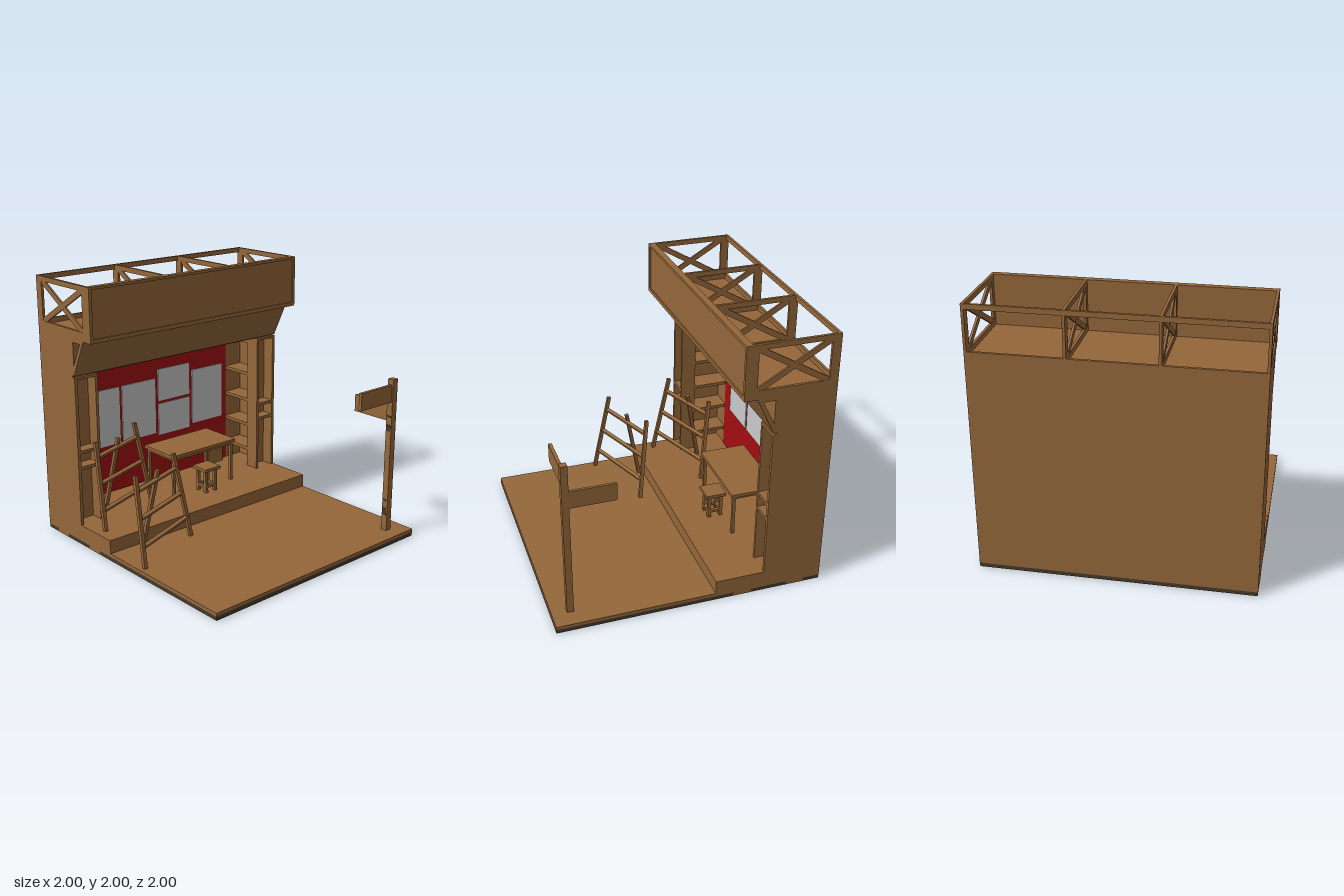
import * as THREE from 'three';

const mat = (name, color) => {
  const m = new THREE.MeshStandardMaterial({ color });
  m.name = name;
  return m;
};

export function createModel() {
  const root = new THREE.Group();
  root.name = 'workshopStage';
  const wood = mat('wood', 0x95673a);
  const red = mat('red wall', 0xa30d0f);
  const paper = mat('pale panel', 0xcbcbcb);
  const dark = mat('dark underside', 0x443a2b);

  const add = (name, geo, m = wood, parent = root) => {
    const mesh = new THREE.Mesh(geo, m);
    mesh.name = name;
    parent.add(mesh);
    return mesh;
  };
  // Box given by its minimum and maximum on each axis
  const box = (name, x0, x1, y0, y1, z0, z1, m = wood, parent = root) => {
    const mesh = add(name, new THREE.BoxGeometry(x1 - x0, y1 - y0, z1 - z0), m, parent);
    mesh.position.set((x0 + x1) / 2, (y0 + y1) / 2, (z0 + z1) / 2);
    return mesh;
  };
  // Square bar between two points
  const bar = (name, a, b, w, d, parent = root) => {
    const p = new THREE.Vector3(...a), q = new THREE.Vector3(...b);
    const dir = q.clone().sub(p);
    const mesh = add(name, new THREE.BoxGeometry(w, dir.length(), d), wood, parent);
    mesh.position.copy(p).add(q).multiplyScalar(0.5);
    mesh.quaternion.setFromUnitVectors(new THREE.Vector3(0, 1, 0), dir.normalize());
    return mesh;
  };
  const group = (name) => {
    const g = new THREE.Group();
    g.name = name;
    root.add(g);
    return g;
  };
  const lerp = (a, b, t) => a.map((v, i) => v + (b[i] - v) * t);

  // Ground, dark underside and raised platform
  box('underside', -1, 1, 0, 0.03, -0.998, 0.998, dark);
  box('ground', -1, 1, 0.03, 0.055, -1, 1);
  box('platform', -1, -0.18, 0.055, 0.16, -1, 1);
  for (const z of [-1, 0.99])
    for (const x of [-0.87, -0.455]) box('baseTab', x, x + 0.138, 0.001, 0.03, z, z + 0.01);
  for (const z of [0.62, 0.07, -0.48])
    box('undersideTab', -0.28, -0.17, -0.001, 0.002, z - 0.012, z + 0.012);

  // Back wall, red lining and pale boards
  box('backWall', -1, -0.955, 0.03, 1.31, -1, 1);
  box('redWall', -0.955, -0.95, 0.16, 1.31, -0.8, 0.8, red);
  for (const [z0, z1, y0, y1] of [[0.335, 0.67, 0.56, 1.03], [-0.025, 0.31, 0.56, 1.03],
    [-0.385, -0.055, 0.83, 1.1], [-0.385, -0.055, 0.535, 0.805], [-0.745, -0.415, 0.56, 1.03]])
    box('wallBoard', -0.95, -0.942, y0, y1, z0, z1, paper);

  // Side walls: shelves facing the room, small cabinet facing outward
  for (const s of [-1, 1]) {
    const wall = group(s > 0 ? 'frontSideWall' : 'rearSideWall');
    const slab = (name, x0, x1, y0, y1, a, b) =>
      box(name, x0, x1, y0, y1, Math.min(s * a, s * b), Math.max(s * a, s * b), wood, wall);
    slab('outerSide', -0.955, -0.55, 0.03, 1.31, 0.975, 1);
    slab('divider', -0.67, -0.65, 0.16, 1.31, 0.8, 0.975);
    slab('innerStile', -0.65, -0.55, 0.16, 1.31, 0.8, 0.822);
    slab('cabinetTop', -0.65, -0.55, 1.29, 1.31, 0.822, 0.975);
    for (const y of [0.595, 0.72]) slab('cabinetShelf', -0.65, -0.55, y, y + 0.025, 0.822, 0.975);
    slab('shelfTop', -0.955, -0.67, 1.25, 1.31, 0.8, 0.975);
    for (const y of [0.3, 0.52, 0.74, 0.97]) slab('roomShelf', -0.955, -0.67, y, y + 0.025, 0.8, 0.975);
  }

  // Upper wall, deck and sloped awning
  box('lintel', -1, -0.575, 1.31, 1.6, -1, 1);
  box('roofDeck', -1, -0.325, 1.6, 1.63, -1, 1);
  const V = (x, y) => new THREE.Vector2(x, y);
  const section = new THREE.Shape([V(-0.578, 1.33), V(-0.555, 1.32), V(-0.42, 1.6), V(-0.578, 1.6)]);
  section.holes.push(new THREE.Path([V(-0.552, 1.575), V(-0.465, 1.575), V(-0.552, 1.4)]));
  add('awning', new THREE.ExtrudeGeometry(section, { depth: 2, bevelEnabled: false })).position.z = -1;

  // Long front sign with a raised border
  const sign = group('signBoard');
  box('signPanel', -0.375, -0.335, 1.6, 2, -1, 1, wood, sign);
  box('signBorder', -0.335, -0.325, 1.6, 1.625, -1, 1, wood, sign);
  box('signBorder', -0.335, -0.325, 1.98, 2, -1, 1, wood, sign);
  for (const z of [-1, 0.975]) box('signBorder', -0.335, -0.325, 1.625, 1.98, z, z + 0.025, wood, sign);

  // Cross-braced frames carrying the sign, tied by rails along the back
  for (const z of [-1, -0.33, 0.295, 0.98]) {
    const t = group('trussFrame');
    box('rearPost', -1, -0.935, 1.6, 2, z, z + 0.02, wood, t);
    box('frontPost', -0.415, -0.375, 1.6, 2, z, z + 0.02, wood, t);
    box('topRail', -0.935, -0.415, 1.962, 2, z, z + 0.02, wood, t);
    box('bottomRail', -0.935, -0.415, 1.6, 1.668, z, z + 0.02, wood, t);
    bar('brace', [-0.94, 1.66, z + 0.01], [-0.41, 1.97, z + 0.01], 0.042, 0.016, t);
    bar('brace', [-0.94, 1.97, z + 0.01], [-0.41, 1.66, z + 0.01], 0.042, 0.014, t);
  }
  box('backTopRail', -1, -0.98, 1.962, 2, -1, 1);
  box('backBottomRail', -1, -0.98, 1.6, 1.668, -1, 1);

  // Table and stool share one four-legged design
  const bench = (name, x0, x1, z0, z1, top, thick, inset, leg, railY) => {
    const g = group(name);
    box('top', x0, x1, top - thick, top, z0, z1, wood, g);
    const a = x0 + inset, b = x1 - inset, c = z0 + inset, d = z1 - inset;
    for (const x of [a, b - leg])
      for (const z of [c, d - leg]) box('leg', x, x + leg, 0.16, top - thick, z, z + leg, wood, g);
    for (const x of [a, b - leg]) box('longRail', x, x + leg, railY, railY + 0.02, c, d, wood, g);
    for (const z of [c, d - leg]) box('endRail', a, b, railY, railY + 0.02, z, z + leg, wood, g);
  };
  bench('table', -0.86, -0.49, -0.5, 0.16, 0.518, 0.025, 0.015, 0.024, 0.472);
  bench('stool', -0.55, -0.39, -0.25, -0.09, 0.37, 0.025, 0.02, 0.026, 0.2);

  // Upright plank with a round hole
  const plank = new THREE.Shape([V(-0.08, 0), V(0.08, 0), V(0.08, 0.23), V(-0.08, 0.23)]);
  plank.holes.push(new THREE.Path().absarc(0, 0.16, 0.028, 0, Math.PI * 2, true));
  const holed = add('holedPlank', new THREE.ExtrudeGeometry(plank, { depth: 0.03, bevelEnabled: false, curveSegments: 8 }));
  holed.rotation.y = Math.PI / 2;
  holed.position.set(-0.93, 0.16, -0.64);

  // Two propped ladders, wider at the foot
  const ladder = (x, y, z) => {
    const g = group('ladder');
    const footA = [-0.04, 0, 0.355], topA = [-0.125, 0.66, 0.445];
    const footB = [0.18, 0, 0.955], topB = [0.05, 0.66, 0.925];
    bar('rail', footA, topA, 0.028, 0.028, g);
    bar('rail', footB, topB, 0.028, 0.028, g);
    for (const t of [0.23, 0.53, 0.83])
      bar('rung', lerp(footA, topA, t), lerp(footB, topB, t), 0.028, 0.024, g);
    bar('prop', [-0.145, 0, 0.73], [-0.025, 0.615, 0.67], 0.028, 0.028, g);
    bar('propTie', [-0.09, 0.28, 0.7], [0.022, 0.35, 0.672], 0.02, 0.02, g);
    g.position.set(x, y, z);
  };
  ladder(0, 0.056, 0);
  ladder(-0.52, 0.16, -0.03);

  // Signpost with two arms and dark worn patches
  const post = group('signpost');
  box('post', 0.84, 0.89, 0.055, 1.26, -0.87, -0.82, wood, post);
  box('sideArm', 0.505, 0.84, 0.925, 1.058, -0.865, -0.845, wood, post);
  box('forwardArm', 0.855, 0.88, 1.085, 1.218, -0.82, -0.485, wood, post);
  for (const [y, h] of [[0.88, 0.05], [0.21, 0.055], [0.97, 0.015], [0.3, 0.015]])
    box('wornPatch', 0.843, 0.882, y - h / 2, y + h / 2, -0.82, -0.817, dark, post);

  return root;
}
